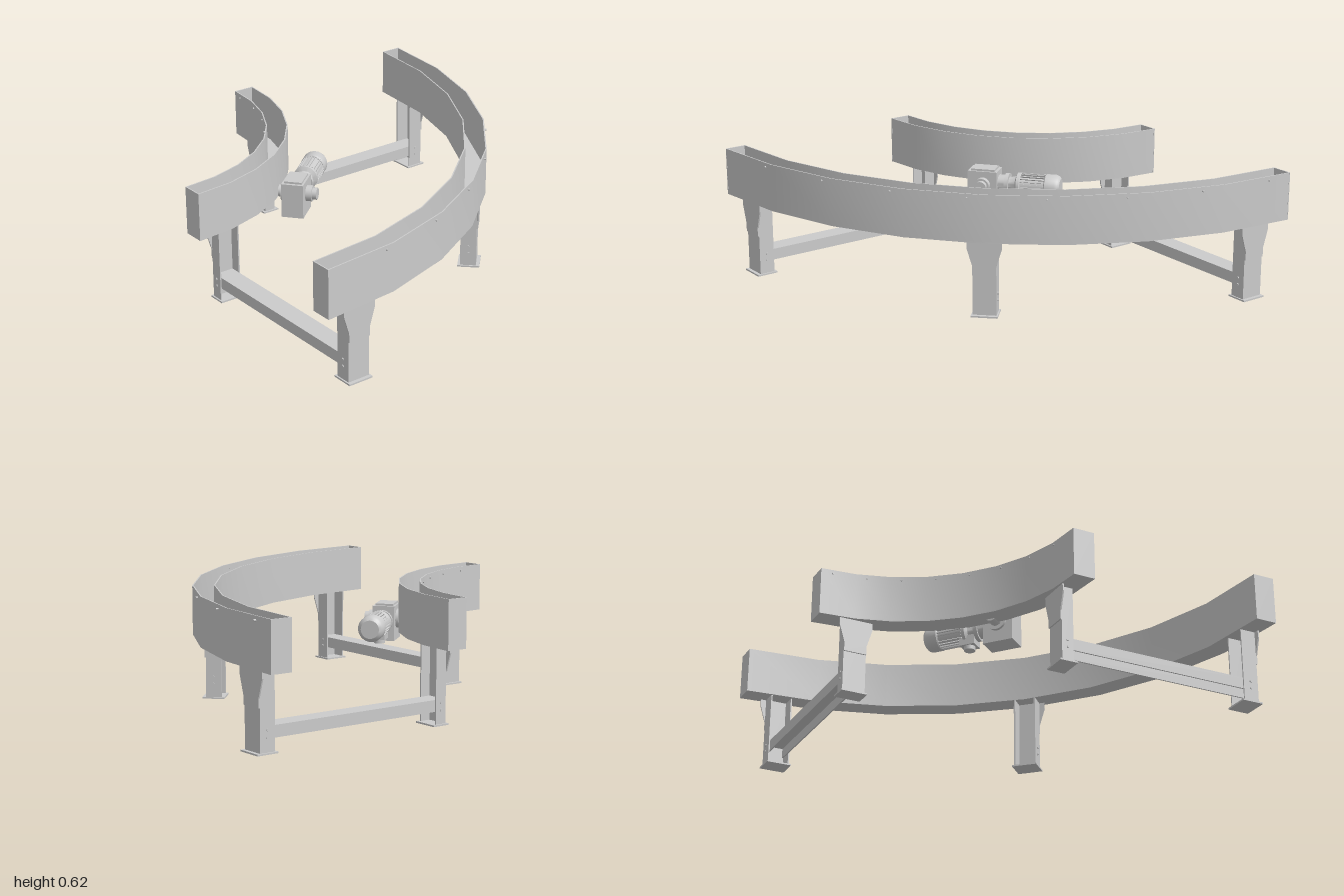
import * as THREE from 'three';
import { toCreasedNormals } from 'three/addons/utils/BufferGeometryUtils.js';

const mat = new THREE.MeshStandardMaterial({ color: 0xcccccc });
const RAIL_BOTTOM = 0.38, RAIL_TOP = 0.62, SHEET = 0.006;
const LEG_OFFSET = 0.19, LEG_WIDTH = 0.115;

function add(parent, name, geometry, x = 0, y = 0, z = 0) {
  const mesh = new THREE.Mesh(geometry, mat);
  mesh.name = name;
  mesh.position.set(x, y, z);
  parent.add(mesh);
  return mesh;
}

// Box given by its limits on each axis
function block(parent, name, [x0, x1], [y0, y1], [z0, z1]) {
  return add(parent, name, new THREE.BoxGeometry(x1 - x0, y1 - y0, z1 - z0),
    (x0 + x1) / 2, (y0 + y1) / 2, (z0 + z1) / 2);
}

// Cylinder between two positions along 'x', 'y' or 'z'
function rod(parent, name, axis, r, from, to, x = 0, y = 0, z = 0, sides = 24) {
  const g = new THREE.CylinderGeometry(r, r, to - from, sides);
  g.translate(0, (from + to) / 2, 0);
  if (axis === 'x') g.rotateZ(-Math.PI / 2);
  if (axis === 'z') g.rotateX(Math.PI / 2);
  return add(parent, name, g, x, y, z);
}

// Quarter ring in eight straight segments
function quarterBand(parent, name, r0, r1, y0, y1) {
  const pts = [];
  const at = (r, i) => new THREE.Vector2(r * Math.cos(i * Math.PI / 16), r * Math.sin(i * Math.PI / 16));
  for (let i = 0; i <= 8; i++) pts.push(at(r1, i));
  for (let i = 8; i >= 0; i--) pts.push(at(r0, i));
  const g = new THREE.ExtrudeGeometry(new THREE.Shape(pts), { depth: y1 - y0, bevelEnabled: false });
  g.rotateX(-Math.PI / 2);
  return add(parent, name, toCreasedNormals(g, 0.5), 0, y0, 0);
}

// Open-topped curved trough with closed ends and a row of studs
function rail(parent, name, r0, r1, studSide) {
  const g = new THREE.Group();
  g.name = name;
  quarterBand(g, 'railFloor', r0, r1, RAIL_BOTTOM, RAIL_BOTTOM + SHEET);
  quarterBand(g, 'railInnerWall', r0, r0 + SHEET, RAIL_BOTTOM, RAIL_TOP);
  quarterBand(g, 'railOuterWall', r1 - SHEET, r1, RAIL_BOTTOM, RAIL_TOP);
  block(g, 'railEndCap', [r0, r1], [RAIL_BOTTOM, RAIL_TOP], [-SHEET, 0]);
  block(g, 'railEndCap', [0, SHEET], [RAIL_BOTTOM, RAIL_TOP], [-r1, -r0]);
  for (let i = 0; i < 8; i++) {
    const pivot = new THREE.Group();
    pivot.rotation.y = THREE.MathUtils.degToRad(10 + i * 10.9);
    const r = studSide > 0 ? r1 : r0;
    rod(pivot, 'railStud', 'x', 0.005, r - 0.012, r + 0.004 + (studSide < 0 ? -0.01 : 0), 0, 0.6, 0, 8);
    g.add(pivot);
  }
  parent.add(g);
}

// Channel leg: web on side 'web', flanges, flared mounting plate, foot and bolts
function leg(parent, name, x0, x1, web, z) {
  const g = new THREE.Group();
  g.name = name;
  g.position.z = z;
  const h = LEG_WIDTH / 2, t = 0.007;
  block(g, 'legWeb', web > 0 ? [x1 - t, x1] : [x0, x0 + t], [0, RAIL_BOTTOM], [-h, h]);
  for (const s of [-1, 1]) {
    add(g, 'legFlange', new THREE.BoxGeometry(x1 - x0, RAIL_BOTTOM, t),
      (x0 + x1) / 2, RAIL_BOTTOM / 2, s * (h - t / 2));
    for (const y of [0.075, 0.11]) {
      rod(g, 'legBolt', 'z', 0.007, -0.005, 0.005, (x0 + x1) / 2, y, s * h, 6);
    }
  }
  const outline = [[-h, 0.21], [h, 0.21], [h, 0.255], [0.085, 0.345], [0.085, 0.38],
    [-0.085, 0.38], [-0.085, 0.345], [-h, 0.255]].map(p => new THREE.Vector2(...p));
  const plate = new THREE.ExtrudeGeometry(new THREE.Shape(outline), { depth: t, bevelEnabled: false });
  plate.rotateY(Math.PI / 2);
  add(g, 'legMountingPlate', plate, web > 0 ? x1 : x0 - t);
  block(g, 'footPlate', [x0 - 0.013, x1 + 0.018], [0, 0.008], [-0.065, 0.065]);
  parent.add(g);
}

// Two legs joined by a downward-open channel beam
function endFrame(parent, angle, z) {
  const g = new THREE.Group();
  g.name = 'endFrame';
  g.rotation.y = angle;
  leg(g, 'innerLeg', 0.895, 0.955, -1, z);
  leg(g, 'outerLeg', 1.885, 1.965, 1, z);
  block(g, 'crossbeamTop', [0.9, 1.955], [0.118, 0.125], [z - 0.05, z + 0.05]);
  for (const s of [-1, 1]) {
    const c = z + s * 0.0465;
    block(g, 'crossbeamFlange', [0.9, 1.955], [0.068, 0.125], [c - 0.0035, c + 0.0035]);
  }
  parent.add(g);
}

// Geared motor: x runs from motor to gearbox, z points to the rail
function gearmotor(parent) {
  const g = new THREE.Group();
  g.name = 'gearmotor';
  g.position.set(0.85, 0.4, -0.67);
  g.rotation.y = -0.89;
  const profile = [[0, -0.39], [0.045, -0.39], [0.058, -0.38], [0.064, -0.365], [0.064, -0.315], [0.058, -0.31],
    [0.054, -0.31], [0.054, -0.185], [0.062, -0.18], [0.062, -0.165], [0.042, -0.155], [0.036, -0.13],
    [0.036, -0.12], [0.055, -0.12], [0.055, -0.1], [0.045, -0.1], [0.045, -0.06], [0, -0.06]];
  const body = new THREE.LatheGeometry(profile.map(p => new THREE.Vector2(...p)), 32);
  body.rotateZ(-Math.PI / 2);
  add(g, 'motorBody', toCreasedNormals(body, 0.6));
  for (let i = 0; i < 24; i++) {
    const pivot = new THREE.Group();
    pivot.rotation.x = i * Math.PI / 12;
    block(pivot, 'coolingFin', [-0.312, -0.185], [0.05, 0.062], [-0.002, 0.002]);
    g.add(pivot);
  }
  block(g, 'gearboxHousing', [-0.065, 0.09], [-0.105, 0.07], [-0.055, 0.055]);
  block(g, 'gearboxLid', [-0.05, 0.075], [0.07, 0.08], [-0.045, 0.045]);
  rod(g, 'outputCover', 'z', 0.04, -0.085, -0.05, 0.01);
  rod(g, 'outputHub', 'z', 0.03, -0.108, -0.08, 0.01);
  rod(g, 'outputFlange', 'z', 0.048, 0.05, 0.07, 0.01);
  rod(g, 'outputShaft', 'z', 0.03, 0.07, 0.13, 0.01);
  block(g, 'terminalBox', [-0.2, -0.12], [-0.08, -0.03], [-0.035, 0.035]);
  rod(g, 'terminalCap', 'y', 0.028, -0.1, -0.08, -0.16);
  parent.add(g);
}

export function createModel() {
  const model = new THREE.Group();
  model.name = 'curvedConveyorFrame';

  // All parts are laid out around the centre of the bend
  const bend = new THREE.Group();
  bend.name = 'bend';
  bend.position.set(-1, 0, 1);
  model.add(bend);

  rail(bend, 'innerRail', 0.89, 1, -1);
  rail(bend, 'outerRail', 1.89, 2, 1);
  endFrame(bend, 0, -LEG_OFFSET);
  endFrame(bend, Math.PI / 2, LEG_OFFSET);

  const middle = new THREE.Group();
  middle.name = 'middleSupport';
  middle.rotation.y = Math.PI / 4;
  leg(middle, 'middleLeg', 1.885, 1.965, 1, 0);
  bend.add(middle);

  gearmotor(bend);
  return model;
}
